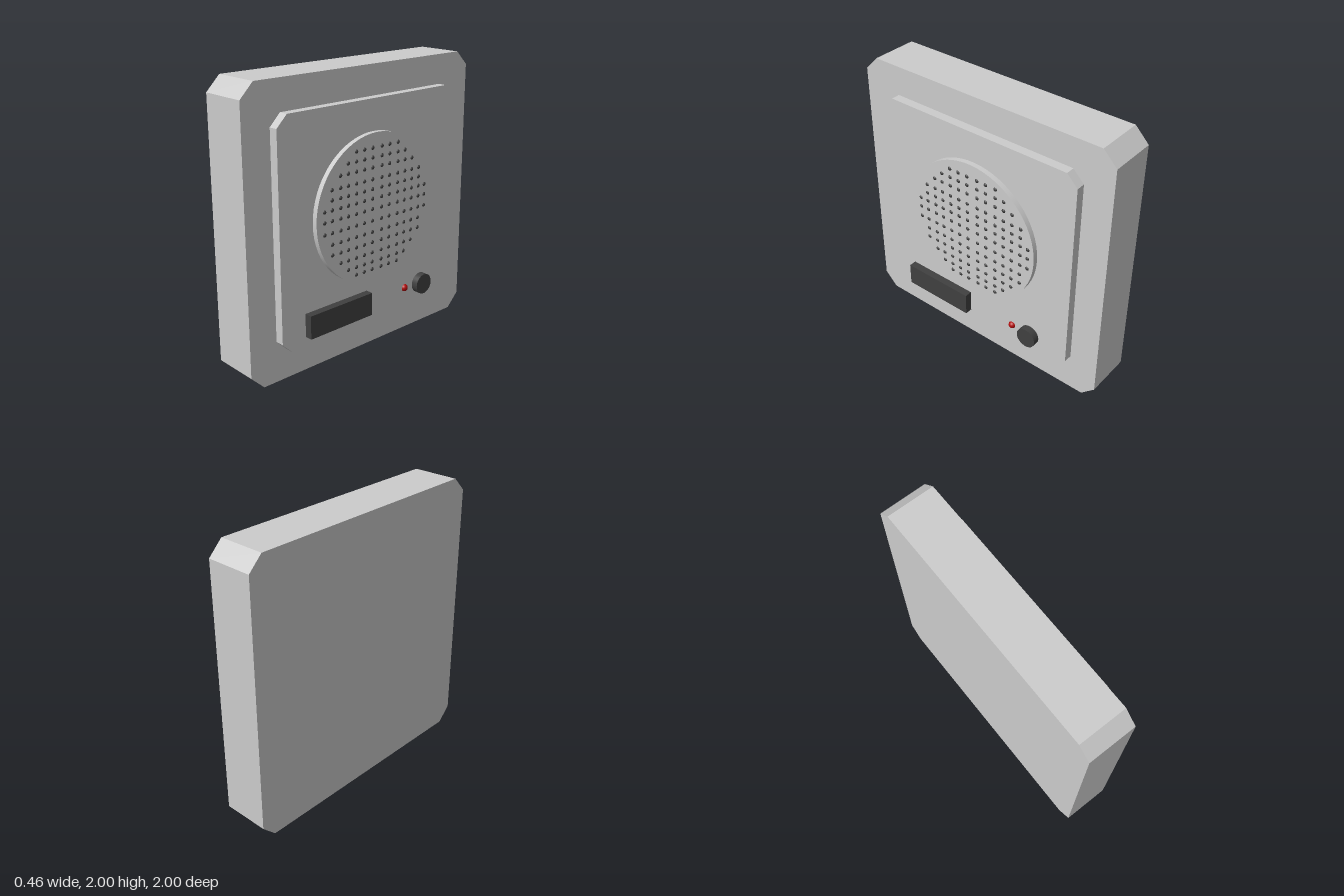
import * as THREE from 'three';

const grey = new THREE.MeshStandardMaterial({ color: 0xcccccc });
const dark = new THREE.MeshStandardMaterial({ color: 0x404040 });
const red = new THREE.MeshStandardMaterial({ color: 0xb00c0c });

function add(group, name, geometry, material, x, y, z) {
  const mesh = new THREE.Mesh(geometry, material);
  mesh.name = name;
  mesh.position.set(x, y, z);
  group.add(mesh);
  return mesh;
}

// Square slab with cut corners, half width h, running from x = 0 to x = depth
function chamferedSlab(h, cut, depth) {
  const k = h - cut;
  const shape = new THREE.Shape(
    [[h, -k], [h, k], [k, h], [-k, h], [-h, k], [-h, -k], [-k, -h], [k, -h]]
      .map(([a, b]) => new THREE.Vector2(a, b)));
  return new THREE.ExtrudeGeometry(shape, { depth, bevelEnabled: false }).rotateY(Math.PI / 2);
}

// Disc whose axis lies along x, running from x = 0 to x = depth
function disc(radius, depth, segments) {
  return new THREE.CylinderGeometry(radius, radius, depth, segments)
    .rotateZ(-Math.PI / 2).translate(depth / 2, 0, 0);
}

export function createModel() {
  const model = new THREE.Group();
  model.name = 'wallIntercom';

  // Housing and raised face plate
  add(model, 'housing', chamferedSlab(1, 0.1, 0.34), grey, -0.23, 1, 0);
  add(model, 'facePlate', chamferedSlab(0.79, 0.08, 0.065), grey, 0.11, 1, 0);

  // Round speaker grille
  add(model, 'speakerDisc', disc(0.523, 0.04, 64), grey, 0.172, 1.05, 0);

  // Perforation dots, each row shortened to follow the circle
  const columns = [0.455, 0.39, 0.317, 0.25, 0.178, 0.106, 0.032,
    -0.053, -0.125, -0.204, -0.273, -0.342, -0.412, -0.472];
  const rows = [1.473, 1.407, 1.339, 1.258, 1.19, 1.123, 1.05, 0.968, 0.888, 0.814, 0.74, 0.672, 0.617];
  const inset = [4, 3, 2, 1, 1, 0, 0, 0, 1, 1, 2, 3, 4];
  const dots = new THREE.Group();
  dots.name = 'grilleDots';
  const dot = new THREE.SphereGeometry(0.016, 16, 10);
  rows.forEach((y, r) => {
    for (let c = inset[r]; c < columns.length - inset[r]; c++) {
      add(dots, 'grilleDot', dot, dark, 0.205, y, columns[c]);
    }
  });
  model.add(dots);

  // Controls along the bottom
  add(model, 'displayWindow', new THREE.BoxGeometry(0.055, 0.166, 0.55), dark, 0.2025, 0.366, 0.322);
  add(model, 'indicatorLight', new THREE.SphereGeometry(0.027, 24, 16), red, 0.172, 0.358, -0.332);
  add(model, 'knob', disc(0.075, 0.052, 40), dark, 0.172, 0.358, -0.486);

  return model;
}
